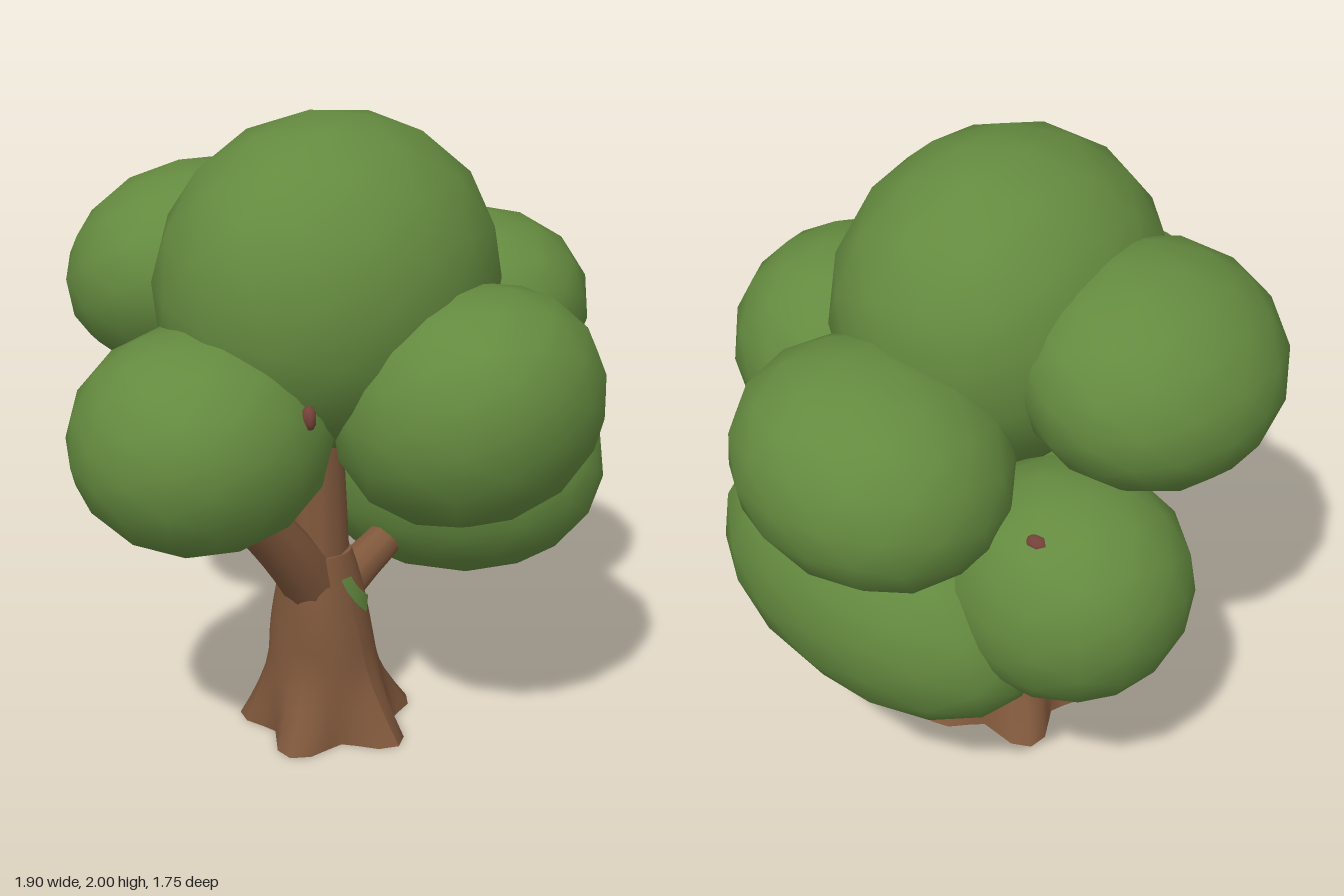
import * as THREE from 'three';
import { mergeVertices } from 'three/addons/utils/BufferGeometryUtils.js';

const mat = (name, color) => {
  const m = new THREE.MeshStandardMaterial({ color });
  m.name = name;
  return m;
};

// Low-poly rounded ball: power above 2 makes it boxier, lean raises its +z end
function leafBall(seed, radii, power, lean) {
  let g = new THREE.IcosahedronGeometry(1, 2);
  g.deleteAttribute('normal');
  g.deleteAttribute('uv');
  g = mergeVertices(g, 1e-4);
  g.rotateY(seed * 1.3);
  g.rotateX(seed * 0.7);
  const p = g.attributes.position, v = new THREE.Vector3();
  for (let i = 0; i < p.count; i++) {
    v.fromBufferAttribute(p, i);
    const sum = Math.abs(v.x) ** power + Math.abs(v.y) ** power + Math.abs(v.z) ** power;
    v.multiplyScalar(sum ** (-1 / power));
    p.setXYZ(i, v.x, v.y + lean * v.z, v.z);
  }
  g.center();
  g.computeBoundingBox();
  const b = g.boundingBox.max;
  g.scale(radii[0] / b.x, radii[1] / b.y, radii[2] / b.z);
  g.computeVertexNormals();
  return g;
}

// Tube along a curve that narrows from r0 to r1
function branch(points, r0, r1) {
  const curve = new THREE.CatmullRomCurve3(points.map(a => new THREE.Vector3(...a)));
  const seg = 8, sides = 9;
  const g = new THREE.TubeGeometry(curve, seg, 1, sides);
  const p = g.attributes.position, v = new THREE.Vector3();
  for (let i = 0; i < p.count; i++) {
    const t = Math.floor(i / (sides + 1)) / seg;
    const c = curve.getPointAt(t);
    v.fromBufferAttribute(p, i).sub(c).multiplyScalar(r0 + (r1 - r0) * t).add(c);
    p.setXYZ(i, v.x, v.y, v.z);
  }
  return g;
}

// Point on the trunk surface: tapering, with five roots spreading near the ground
const TRUNK_TOP = 0.62;
const trunkX = y => -0.015 - 0.06 * y / TRUNK_TOP;
function trunkAt(y, angle, lift = 0) {
  const flare = Math.max(0, 1 - y / 0.24) ** 1.4;
  const r = 0.185 - 0.21 * y * y + flare * (0.06 + 0.05 * Math.cos(5 * angle)) + 0.006 * Math.sin(3 * angle + y * 9) + lift;
  return [trunkX(y) + r * Math.sin(angle), y, -0.015 + r * Math.cos(angle)];
}

function trunk() {
  const g = new THREE.CylinderGeometry(1, 1, TRUNK_TOP, 30, 10);
  const p = g.attributes.position;
  for (let i = 0; i < p.count; i++) {
    const x = p.getX(i), z = p.getZ(i), y = p.getY(i) + TRUNK_TOP / 2;
    if (Math.hypot(x, z) < 0.01) p.setXYZ(i, trunkX(y), y, -0.015);
    else p.setXYZ(i, ...trunkAt(y, Math.atan2(x, z)));
  }
  g.computeVertexNormals();
  return g;
}

// Curved strip lying on the front of the trunk
function mossStrip() {
  const verts = [], faces = [], n = 8;
  for (let i = 0; i <= n; i++) {
    const t = i / n;
    for (const s of [-1, 1]) {
      const angle = -0.03 + 0.2 * t + 0.4 * t * t + s * 0.17;
      verts.push(...trunkAt(0.55 - 0.12 * t + s * 0.018 * t, angle, 0.009));
    }
    if (i < n) faces.push(2 * i, 2 * i + 2, 2 * i + 1, 2 * i + 1, 2 * i + 2, 2 * i + 3);
  }
  const g = new THREE.BufferGeometry();
  g.setAttribute('position', new THREE.Float32BufferAttribute(verts, 3));
  g.setIndex(faces);
  g.computeVertexNormals();
  return g;
}

export function createModel() {
  const tree = new THREE.Group();
  tree.name = 'tree';
  const leaf = mat('leaf green', 0x648a3f);
  const bark = mat('bark brown', 0x80583c);
  const knot = mat('knot red brown', 0x74433a);
  const add = (name, geometry, material) => {
    const m = new THREE.Mesh(geometry, material);
    m.name = name;
    tree.add(m);
    return m;
  };

  // Foliage: name, centre, radii, boxiness, lean
  const balls = [
    ['crownFoliage', [-0.065, 1.5, 0.03], [0.555, 0.5, 0.48], 2.05, 0],
    ['frontFoliage', [0.035, 1.19, 0.49], [0.405, 0.36, 0.385], 2.15, 0.12],
    ['rightFoliage', [-0.57, 1.13, -0.015], [0.385, 0.33, 0.37], 2.1, 0],
    ['leftUpperFoliage', [0.565, 1.255, 0.02], [0.385, 0.33, 0.42], 2.1, 0.12],
    ['leftLowerFoliage', [0.485, 0.77, 0.06], [0.34, 0.37, 0.55], 2.1, 0.2],
    ['backUpperFoliage', [-0.09, 1.45, -0.49], [0.43, 0.33, 0.385], 2, 0.12],
    ['backLowerFoliage', [0.28, 0.88, -0.46], [0.36, 0.345, 0.375], 2.1, 0],
    ['backRightFoliage', [-0.25, 1.1, -0.18], [0.37, 0.28, 0.27], 2.2, 0],
  ];
  balls.forEach(([name, centre, radii, power, lean], i) =>
    add(name, leafBall(i + 1, radii, power, lean), leaf).position.set(...centre));

  // Trunk, limbs and moss
  add('trunk', trunk(), bark);
  add('centreLimb', branch([[-0.075, 0.5, -0.015], [-0.06, 0.75, -0.02], [-0.05, 1.1, -0.02]], 0.108, 0.065), bark);
  add('rightLimb', branch([[-0.08, 0.47, 0], [-0.2, 0.63, 0], [-0.33, 0.78, -0.01], [-0.5, 0.93, -0.02]], 0.095, 0.07), bark);
  add('leftLimb', branch([[-0.05, 0.42, 0], [0.08, 0.5, 0.01], [0.2, 0.56, 0.02], [0.4, 0.68, 0.04]], 0.075, 0.045), bark);
  add('backLimb', branch([[-0.06, 0.45, -0.03], [0.04, 0.6, -0.14], [0.18, 0.78, -0.35]], 0.08, 0.05), bark);
  add('mossStrip', mossStrip(), leaf);

  // Small twig stubs poking out of the foliage: centre, radii
  const stubs = [
    [[-0.47, 1.25, 0.32], [0.022, 0.038, 0.025]],
    [[0.48, 1.15, -0.5], [0.028, 0.025, 0.038]],
  ];
  for (const [centre, radii] of stubs) {
    const s = add('twigStub', new THREE.SphereGeometry(1, 7, 5), knot);
    s.scale.set(...radii);
    s.position.set(...centre);
  }

  return tree;
}
